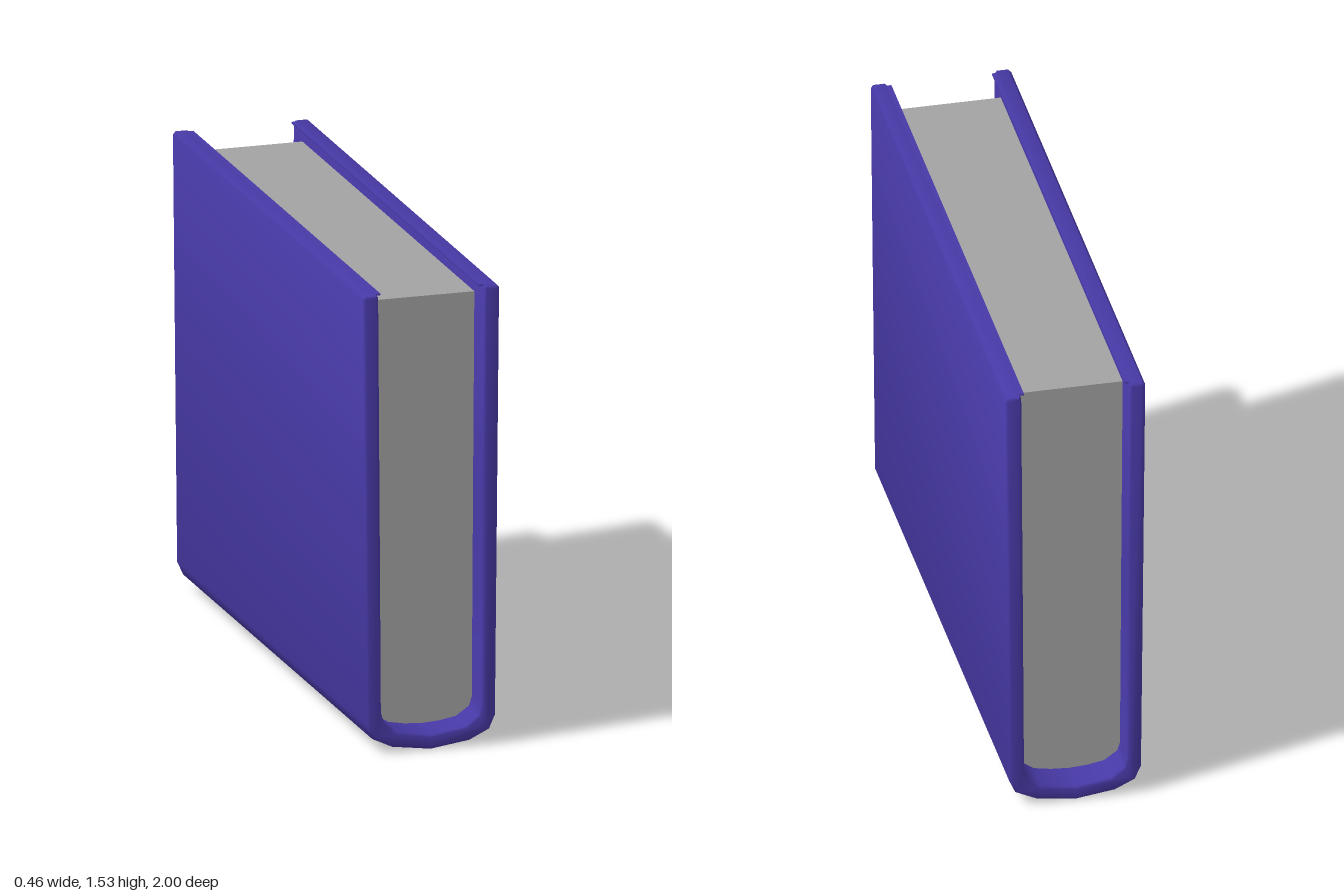
import * as THREE from 'three';
import { mergeVertices, toCreasedNormals } from 'three/addons/utils/BufferGeometryUtils.js';

const coverBlue = new THREE.MeshStandardMaterial({ color: 0x4739a6 });
const pageGrey = new THREE.MeshStandardMaterial({ color: 0xa3a3a3 });

// Mirrors the +x half of a profile to run from the left edge to the right edge
function mirrored(half) {
  const left = half.filter(([x]) => x > 0).reverse().map(([x, y]) => [-x, y]);
  return [...half, ...left];
}

function shapeFrom(points) {
  return new THREE.Shape(points.map(([x, y]) => new THREE.Vector2(x, y)));
}

// Extrudes a profile along z, centred on z = 0
function extrude(points, length, bevel) {
  const geometry = new THREE.ExtrudeGeometry(shapeFrom(points), {
    depth: length - 2 * bevel, bevelEnabled: bevel > 0, bevelSize: bevel,
    bevelThickness: bevel, bevelOffset: -bevel, bevelSegments: 2,
  });
  geometry.translate(0, 0, bevel - length / 2);
  return geometry;
}

export function createModel() {
  const book = new THREE.Group();
  book.name = 'book';

  // Cover: two boards joined by a rounded spine underneath
  const outer = mirrored([
    [0.222, 1.54], [0.231, 1.53], [0.224, 0.8], [0.217, 0.1], [0.197, 0.055], [0.13, 0.023], [0, 0.005],
  ]);
  const inner = mirrored([
    [0.183, 1.54], [0.177, 1.53], [0.172, 0.8], [0.168, 0.14], [0.157, 0.105], [0.115, 0.073], [0, 0.055],
  ]);
  const coverGeometry = extrude([...outer, ...inner.reverse()], 2, 0.01);
  coverGeometry.deleteAttribute('uv');
  coverGeometry.deleteAttribute('normal');
  const smoothCover = mergeVertices(coverGeometry, 1e-4);
  smoothCover.clearGroups();
  const cover = new THREE.Mesh(toCreasedNormals(smoothCover, 0.9), coverBlue);
  cover.name = 'cover';
  book.add(cover);

  // Thin lips along the inside top edge of both boards
  for (const side of [-1, 1]) {
    const lip = new THREE.Mesh(new THREE.BoxGeometry(0.025, 0.005, 1.96), coverBlue);
    lip.name = side > 0 ? 'leftLip' : 'rightLip';
    lip.position.set(side * 0.178, 1.537, 0);
    book.add(lip);
  }

  // Page block, rounded where it meets the spine
  const pageProfile = mirrored([
    [0.178, 1.495], [0.173, 0.8], [0.17, 0.14], [0.158, 0.11], [0.115, 0.08], [0.06, 0.07], [0, 0.066],
  ]);
  const pages = new THREE.Mesh(toCreasedNormals(extrude(pageProfile, 1.8, 0), 0.7), pageGrey);
  pages.name = 'pages';
  book.add(pages);

  return book;
}
